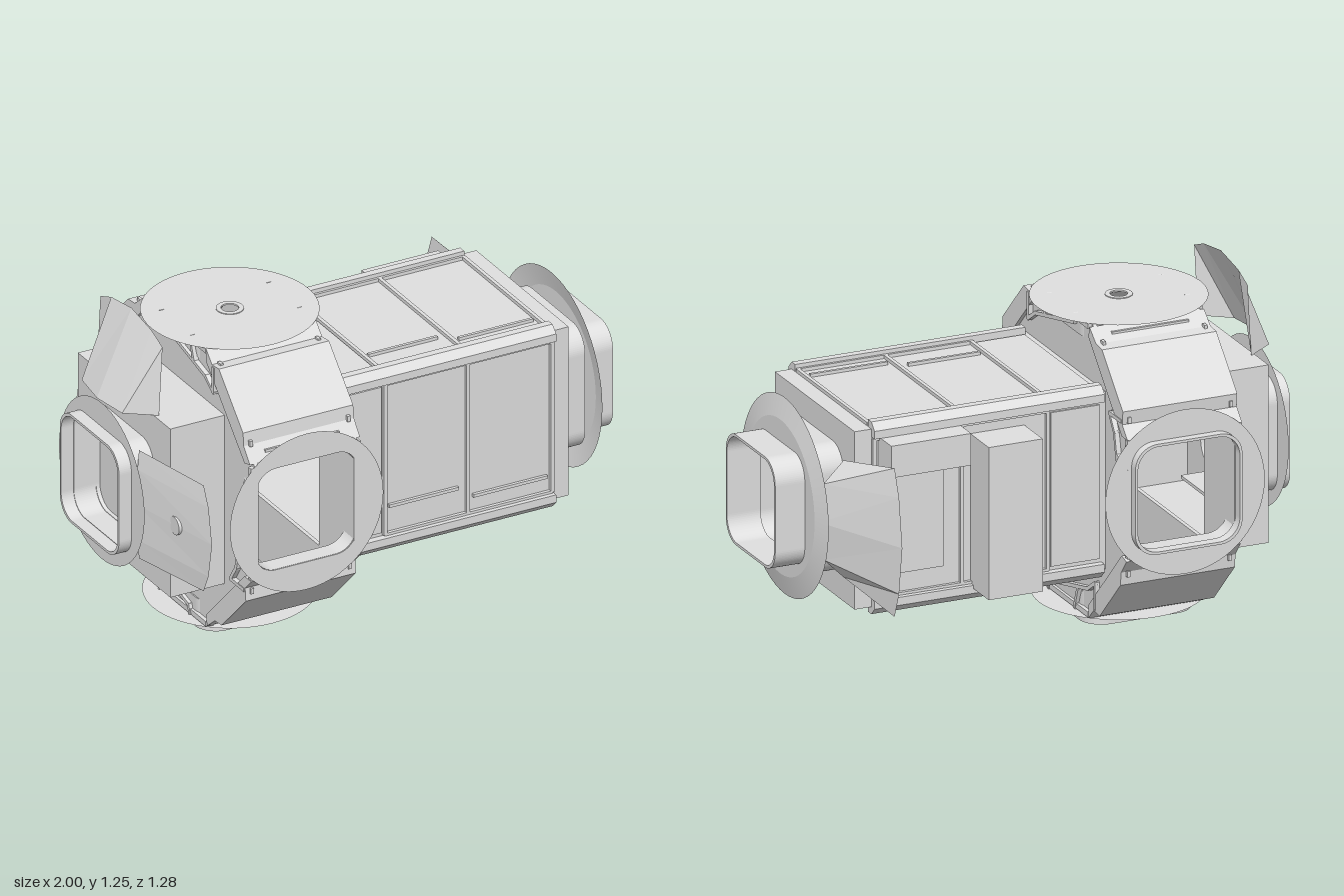
import * as THREE from 'three';

const HALF = Math.PI / 2;
const HUB_X = -0.4325;

export function createModel() {
  const model = new THREE.Group();
  model.name = 'stationModule';
  const root = new THREE.Group();
  root.name = 'hull';
  root.position.set(0, 0.595, 0.02);
  model.add(root);

  const grey = new THREE.MeshStandardMaterial({ color: 0xe0e0e0, side: THREE.DoubleSide });
  grey.name = 'lightGrey';

  function add(parent, name, geo, x = 0, y = 0, z = 0) {
    const m = new THREE.Mesh(geo, grey);
    m.name = name;
    m.position.set(x, y, z);
    parent.add(m);
    return m;
  }
  const box = (parent, name, w, h, d, x, y, z) => add(parent, name, new THREE.BoxGeometry(w, h, d), x, y, z);
  const turned = (name, angle) => {
    const g = new THREE.Group();
    g.name = name;
    g.rotation.x = angle;
    root.add(g);
    return g;
  };

  // Outline helpers
  function roundedSquare(h, r, T = THREE.Shape) {
    const s = new T();
    s.moveTo(h, -h + r);
    s.lineTo(h, h - r);
    s.absarc(h - r, h - r, r, 0, HALF);
    s.absarc(-h + r, h - r, r, HALF, Math.PI);
    s.absarc(-h + r, -h + r, r, Math.PI, 3 * HALF);
    s.absarc(h - r, -h + r, r, 3 * HALF, 4 * HALF);
    return s;
  }
  const polygon = (pts, T = THREE.Shape) => new T(pts.map(p => new THREE.Vector2(...p)));
  const square = (h, T) => polygon([[-h, -h], [h, -h], [h, h], [-h, h]], T);
  const circle = (r, T = THREE.Shape) => new T().absarc(0, 0, r, 0, Math.PI * 2);
  function extrude(shape, hole, depth) {
    if (hole) shape.holes.push(hole);
    return new THREE.ExtrudeGeometry(shape, { depth, bevelEnabled: false, curveSegments: 10 });
  }
  function sheet(shape, hole) {
    shape.holes.push(hole);
    return new THREE.ShapeGeometry(shape, 28);
  }
  const hatchHole = (h = 0.203) => roundedSquare(h, 0.08, THREE.Path);
  // Extrusion running along x from x0 to x1
  const alongX = (shape, hole, x0, x1) => extrude(shape, hole, x1 - x0).rotateY(HALF).translate(x0, 0, 0);

  // Hollow square hull with an open wall at each end
  add(root, 'mainBody', alongX(square(0.335), square(0.315, THREE.Path), -0.23, 0.74));
  add(root, 'rearBody', alongX(square(0.335), square(0.315, THREE.Path), -0.85, -0.63));
  add(root, 'mainEndWall', alongX(square(0.335), hatchHole(), 0.735, 0.75));
  add(root, 'rearEndWall', alongX(square(0.335), hatchHole(), -0.86, -0.845));

  // Hull faces: chamfered corner rails, panel frames and ledges
  const railOutline = [[0.305, 0.33], [0.33, 0.305], [0.362, 0.305], [0.362, 0.335], [0.335, 0.362], [0.305, 0.362]];
  ['front', 'bottom', 'back', 'top'].forEach((side, k) => {
    const g = turned(side + 'Panels', k * HALF);
    add(g, 'cornerRail', alongX(polygon(railOutline), null, -0.21, 0.685));
    [0.003, 0.338, 0.678].forEach(x => box(g, 'panelPost', 0.014, 0.6, 0.014, x, 0, 0.341));
    [-0.298, 0.298].forEach(y => box(g, 'panelBeam', 0.68, 0.01, 0.014, 0.34, y, 0.341));
    box(g, 'plainPanel', 0.19, 0.58, 0.008, -0.105, 0, 0.338);
    if (side === 'front' || side === 'top') {
      box(g, 'ledge', 0.28, 0.012, 0.012, 0.16, -0.19, 0.341);
      box(g, 'ledge', 0.3, 0.012, 0.012, 0.51, -0.235, 0.341);
    }
  });

  // Equipment boxes on the back
  box(root, 'tallEquipmentBox', 0.21, 0.575, 0.16, 0.195, -0.03, -0.41);
  box(root, 'wideEquipmentBox', 0.31, 0.12, 0.13, 0.505, 0.245, -0.385);
  box(root, 'backPanel', 0.2, 0.4, 0.012, 0.51, -0.02, -0.341);

  // Octagonal hub: side plates, diagonal panels and raised ribs
  const octagonPoints = [];
  for (let k = 0; k < 4; k++) {
    const c = Math.round(Math.cos(k * HALF)), s = Math.round(Math.sin(k * HALF));
    [[0.555, 0.225], [0.5, 0.28], [0.225, 0.555]].forEach(([x, y]) =>
      octagonPoints.push([x * c - y * s, x * s + y * c]));
  }
  [-0.24, -0.64].forEach(x =>
    add(root, 'hubSidePlate', alongX(polygon(octagonPoints), square(0.3, THREE.Path), x, x + 0.015)));

  const panelOutline = [[0.235, 0.545], [0.29, 0.5], [0.34, 0.495], [0.515, 0.32],
    [0.51, 0.27], [0.555, 0.225], [0.505, 0.225], [0.225, 0.505]];
  const ribs = [[-0.28, 0.405, -0.22, 0.445], [-0.22, 0.445, 0.1, 0.52], [0.1, 0.52, 0.11, 0.55],
    [-0.14, 0.465, -0.11, 0.55], [-0.28, 0.405, -0.28, 0.5]];
  for (let k = 0; k < 4; k++) {
    const g = turned('hubQuarter', k * HALF);
    add(g, 'diagonalPanel', alongX(polygon(panelOutline), null, -0.655, -0.21));
    [-0.216, -0.649].forEach(x => {
      ribs.forEach(([x0, y0, x1, y1]) => {
        const rib = box(g, 'hubRib', 0.018, 0.014, Math.hypot(x1 - x0, y1 - y0) + 0.01,
          x, (y0 + y1) / 2, -(x0 + x1) / 2);
        rib.rotation.x = Math.atan2(y1 - y0, x1 - x0);
      });
    });
    // Panel clips
    [-0.235, -0.63].forEach(x => {
      box(g, 'panelClip', 0.012, 0.022, 0.022, x, 0.5, -0.297);
      box(g, 'panelClip', 0.012, 0.022, 0.022, x, 0.285, -0.508);
    });
    box(g, 'panelSlot', 0.3, 0.012, 0.012, HUB_X, 0.52, -0.262);
  }

  // Docking ports; each is built facing +z and then turned
  function port(name, rx, ry, x) {
    const g = new THREE.Group();
    g.name = name;
    g.position.x = x;
    g.rotation.set(rx, ry, 0);
    root.add(g);
    return g;
  }
  const tunnel = (g, h, z0, z1) =>
    add(g, 'hatchTunnel', extrude(roundedSquare(h, 0.085), hatchHole(h - 0.01), z1 - z0), 0, 0, z0);
  const flange = (g, r, z) => add(g, 'flange', sheet(circle(r), hatchHole()), 0, 0, z);

  const hubPorts = [['frontPort', 0, 0], ['backPort', 0, Math.PI], ['topPort', -HALF, 0], ['bottomPort', HALF, 0]];
  hubPorts.forEach(([name, rx, ry]) => {
    const g = port(name, rx, ry, HUB_X);
    add(g, 'portFace', extrude(square(0.2225), hatchHole(), 0.02), 0, 0, 0.533);
    tunnel(g, 0.212, 0.48, 0.55);
    if (name === 'topPort') {
      add(g, 'topCover', sheet(circle(0.317), circle(0.032, THREE.Path)), 0, 0, 0.556);
      add(g, 'coverCollar', extrude(circle(0.05), circle(0.032, THREE.Path), 0.006), 0, 0, 0.553);
    } else {
      flange(g, 0.31, 0.557);
    }
    if (name === 'backPort') tunnel(g, 0.208, 0.55, 0.59);
    if (name === 'bottomPort') tunnel(g, 0.213, 0.55, 0.595);
  });

  // Main end port: adapter, flange with a bevelled rim, long tunnel
  const mainPort = port('mainEndPort', 0, HALF, 0);
  add(mainPort, 'adapter', extrude(roundedSquare(0.24, 0.09), hatchHole(), 0.12), 0, 0, 0.75);
  flange(mainPort, 0.29, 0.885);
  const rim = add(mainPort, 'flangeRim', new THREE.CylinderGeometry(0.29, 0.37, 0.018, 56, 1, true), 0, 0, 0.876);
  rim.rotation.x = HALF;
  tunnel(mainPort, 0.208, 0.87, 1);

  const rearPort = port('rearEndPort', 0, -HALF, 0);
  tunnel(rearPort, 0.215, 0.855, 1);
  flange(rearPort, 0.31, 0.95);

  // Half-open door and floor seen through the end hatch
  box(root, 'innerDoor', 0.01, 0.41, 0.19, -0.84, 0, -0.11);
  box(root, 'innerFloor', 0.12, 0.012, 0.23, -0.75, -0.185, -0.08);

  // Shield petals: a nearly flat middle with both flanks folded back
  const columns = [-1, -0.65, 0, 0.65, 1];
  function petal(name, angle, sign, p) {
    const geo = new THREE.PlaneGeometry(1, 1, 4, 1);
    const pos = geo.attributes.position;
    for (let i = 0; i < pos.count; i++) {
      const u = columns[i % 5], t = pos.getY(i) + 0.5, edge = Math.abs(u) === 1;
      const radial = THREE.MathUtils.lerp(p.r0, p.r1 - p.drop * u * u, t);
      const mid = THREE.MathUtils.lerp(p.x0, p.x1, t);
      const fold = edge ? p.fold : Math.abs(u) * p.fold * 0.25;
      pos.setXYZ(i, sign * THREE.MathUtils.lerp(mid, p.x1, fold), radial,
        u * THREE.MathUtils.lerp(p.w0, p.w1, t));
    }
    const flat = geo.toNonIndexed();
    flat.computeVertexNormals();
    add(turned(name, angle), 'shieldPlate', flat);
  }
  petal('topRearPetal', 0, -1, { r0: 0.335, r1: 0.658, drop: 0.055, x0: 0.97, x1: 0.83, w0: 0.225, w1: 0.225, fold: 0.9 });
  petal('frontRearPetal', HALF, -1, { r0: 0.22, r1: 0.62, drop: 0.06, x0: 0.93, x1: 0.85, w0: 0.215, w1: 0.21, fold: 0.1 });
  petal('backMainPetal', -HALF, 1, { r0: 0.3, r1: 0.66, drop: 0.065, x0: 0.87, x1: 0.715, w0: 0.22, w1: 0.28, fold: 0.6 });

  // Petal hinge pin
  const pin = add(root, 'petalPin', new THREE.CylinderGeometry(0.035, 0.035, 0.012, 16), -0.888, 0, 0.425);
  pin.rotation.z = -HALF + 0.01;

  return model;
}
